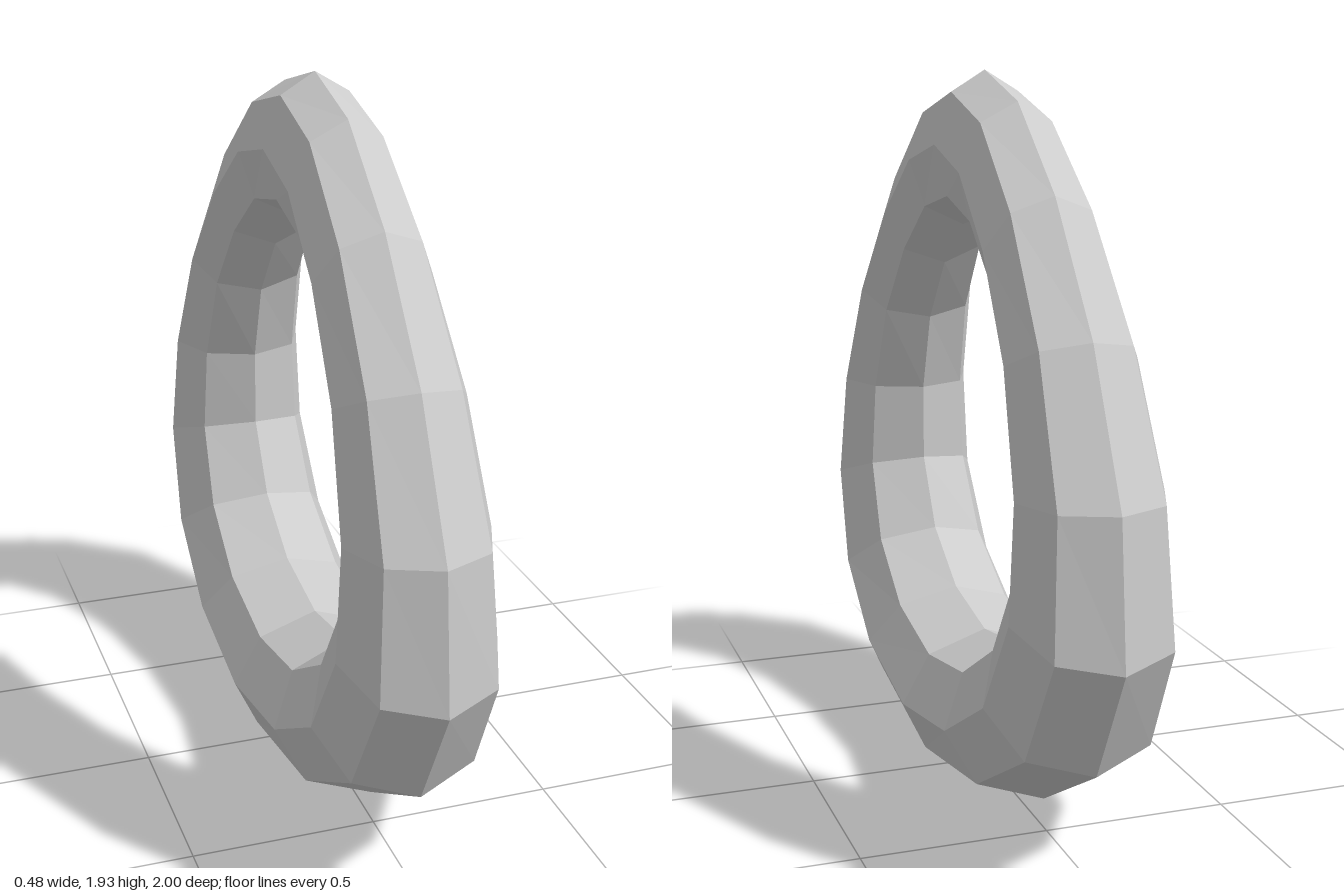
import * as THREE from 'three';

// Half outline from top to bottom: [outer z, outer y, inner z, inner y]
const HALF = [
  [0, 1.928, 0, 1.545],
  [0.257, 1.858, 0.187, 1.503],
  [0.524, 1.647, 0.358, 1.375],
  [0.777, 1.334, 0.503, 1.195],
  [0.963, 0.968, 0.578, 0.968],
  [1.0, 0.6, 0.578, 0.75],
  [0.834, 0.287, 0.465, 0.558],
  [0.478, 0.08, 0.262, 0.433],
  [0, 0, 0, 0.388],
];
const SEGMENTS = 16, SIDES = 8;

// The ring is thicker sideways at its foot than at its crown
const halfWidth = (y) => 0.253 - 0.065 * y;

export function createModel() {
  const group = new THREE.Group();
  group.name = 'ring';

  // Reshape a low-poly torus: octagonal sections swept along the mirrored outline
  const geometry = new THREE.TorusGeometry(1, 0.2, SIDES, SEGMENTS);
  const position = geometry.attributes.position;
  for (let j = 0; j <= SIDES; j++) {
    const angle = (j / SIDES) * Math.PI * 2;
    const t = (1 - Math.cos(angle)) / 2; // 0 on the outer rim, 1 on the inner rim
    for (let i = 0; i <= SEGMENTS; i++) {
      const side = i <= SEGMENTS / 2 ? 1 : -1;
      const [oz, oy, iz, iy] = HALF[side > 0 ? i : SEGMENTS - i];
      const y = THREE.MathUtils.lerp(oy, iy, t);
      const z = THREE.MathUtils.lerp(oz, iz, t) * side;
      position.setXYZ(j * (SEGMENTS + 1) + i, Math.sin(angle) * halfWidth(y), y, z);
    }
  }
  geometry.computeVertexNormals();

  const band = new THREE.Mesh(
    geometry,
    new THREE.MeshStandardMaterial({ color: 0xcccccc, flatShading: true })
  );
  band.name = 'ringBand';
  group.add(band);
  return group;
}
